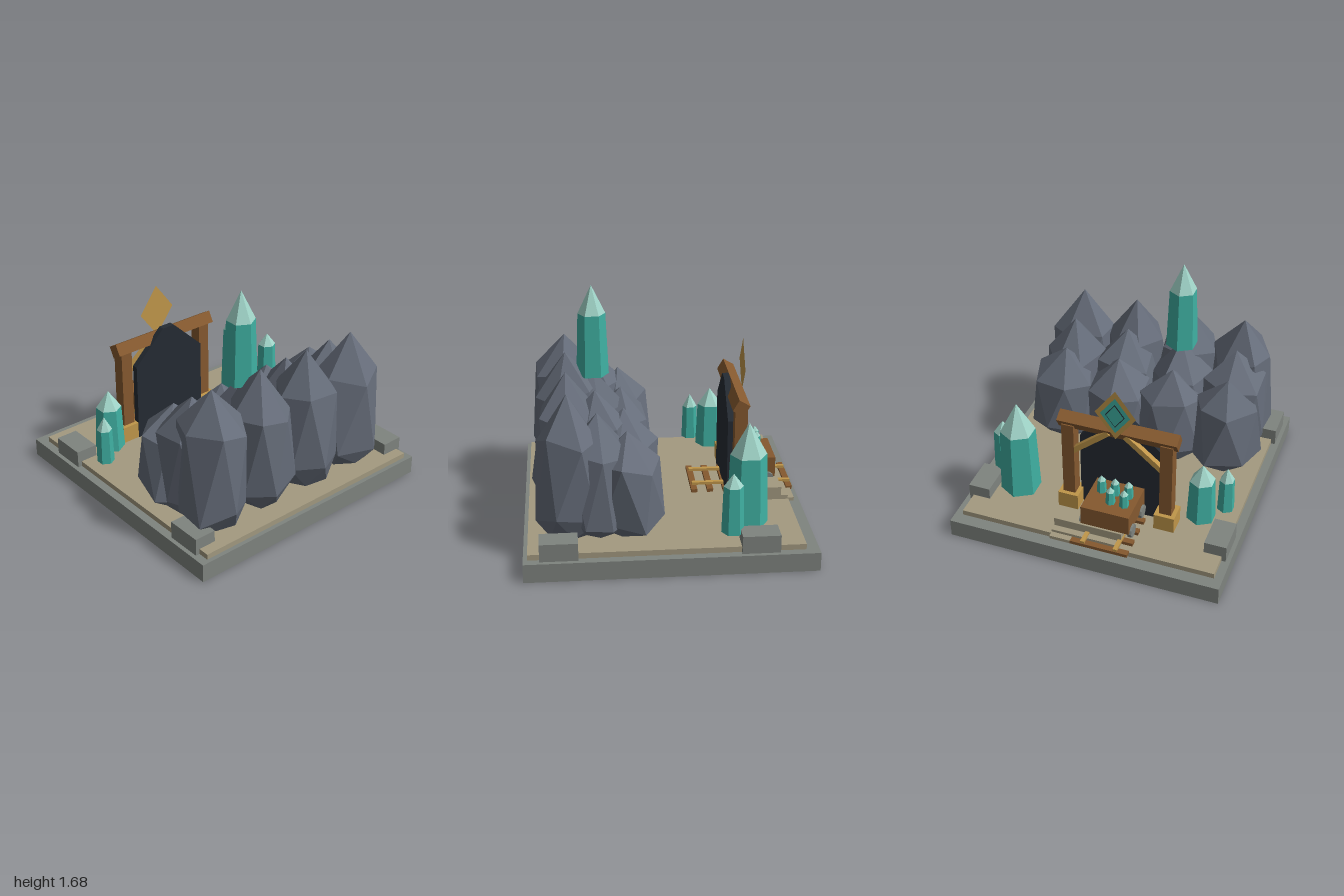
import * as THREE from 'three';

const mat = (name, color) => Object.assign(new THREE.MeshStandardMaterial({ color }), { name });

export function createModel() {
  const root = new THREE.Group();
  root.name = 'crystalMine';
  const stone = mat('grey stone', 0x7f847f);
  const sand = mat('sandy floor', 0xa39a80);
  const rockMat = mat('slate rock', 0x666d7a);
  const wood = mat('brown timber', 0x85592f);
  const gold = mat('golden wood', 0xc0964a);
  const teal = mat('teal crystal', 0x3fb0a2);
  const pale = mat('pale crystal tip', 0xa0d4c8);
  const dark = mat('dark opening', 0x252b33);
  const sheet = mat('golden sign', 0xc0964a);
  sheet.side = THREE.DoubleSide;

  const add = (name, geo, material, x = 0, y = 0, z = 0, parent = root) => {
    const flat = geo.index ? geo.toNonIndexed() : geo;
    flat.computeVertexNormals();
    const m = new THREE.Mesh(flat, material);
    m.name = name;
    m.position.set(x, y, z);
    parent.add(m);
    return m;
  };
  // Box given by its minimum and maximum on each axis
  const block = (name, material, x0, x1, y0, y1, z0, z1, parent) =>
    add(name, new THREE.BoxGeometry(x1 - x0, y1 - y0, z1 - z0), material,
      (x0 + x1) / 2, (y0 + y1) / 2, (z0 + z1) / 2, parent);

  // Ground slab, sandy floor and corner blocks
  block('base', stone, -1, 1, 0, 0.135, -1, 1);
  block('floor', sand, -0.94, 0.94, 0.13, 0.175, -0.91, 0.97);
  for (const s of [-1, 1]) {
    for (const z of [-0.6, 0.76]) {
      add('cornerBlock', new THREE.BoxGeometry(0.16, 0.13, 0.26), stone, s * 0.89, 0.197, z);
    }
  }

  // Rocks: jittered six-sided rings closed by an apex
  let seed = 11;
  const jitter = (amount) => {
    seed = (seed * 16807) % 2147483647;
    return (seed / 2147483647 * 2 - 1) * amount;
  };
  const rockGeometry = (h) => {
    const n = 6, pos = [], index = [];
    const profile = [[0.16, 0], [0.255, 0.14], [0.225, 0.7]];
    const turn = jitter(0.5);
    profile.forEach(([r, y], k) => {
      for (let i = 0; i < n; i++) {
        const a = (i + k * 0.5 + jitter(0.15)) / n * Math.PI * 2 + turn;
        const rr = r + jitter(0.025);
        pos.push(Math.sin(a) * rr, (y + (k ? jitter(0.05) : 0)) * h, Math.cos(a) * rr);
      }
    });
    pos.push(0, h, 0);
    for (let k = 0; k < 3; k++) {
      for (let i = 0; i < n; i++) {
        const j = (i + 1) % n, a = k * n + i, b = k * n + j;
        if (k === 2) index.push(a, b, 3 * n);
        else index.push(a, b, a + n, b, b + n, a + n);
      }
    }
    const g = new THREE.BufferGeometry();
    g.setAttribute('position', new THREE.Float32BufferAttribute(pos, 3));
    g.setIndex(index);
    return g;
  };
  for (const [z, top] of [[0.68, 1.18], [0.48, 1.04], [0.28, 0.9]]) {
    for (const x of [-0.66, -0.24, 0.18, 0.6]) {
      add('rock', rockGeometry(top - 0.175), rockMat, x, 0.175, z);
    }
  }

  // Crystals: tapered hexagonal shaft with a pale pointed tip
  const crystal = (x, z, y0, y1, y2, r0, r1) => {
    const g = new THREE.Group();
    g.name = 'crystal';
    g.position.set(x, 0, z);
    add('crystalShaft', new THREE.CylinderGeometry(r1, r0, y1 - y0, 6), teal, 0, (y0 + y1) / 2, 0, g);
    add('crystalTip', new THREE.ConeGeometry(r1, y2 - y1, 6), pale, 0, (y1 + y2) / 2, 0, g);
    root.add(g);
  };
  crystal(-0.24, 0.48, 1.01, 1.47, 1.68, 0.118, 0.1);
  crystal(0.64, -0.545, 0.21, 0.72, 0.95, 0.146, 0.127);
  crystal(0.82, -0.42, 0.23, 0.57, 0.66, 0.078, 0.068);
  crystal(-0.7, -0.44, 0.23, 0.56, 0.69, 0.107, 0.092);
  crystal(-0.84, -0.3, 0.23, 0.49, 0.59, 0.063, 0.055);

  // Steps behind the gate
  block('topStep', sand, -0.25, 0.25, 0.17, 0.27, -0.855, -0.74);
  block('middleStep', sand, -0.25, 0.25, 0.17, 0.205, -0.905, -0.74);
  block('bottomStep', sand, -0.25, 0.25, 0.16, 0.185, -0.95, -0.74);

  // Track
  const mid = -0.12;
  for (let i = 0; i < 7; i++) {
    add('sleeper', new THREE.BoxGeometry(0.42, 0.025, 0.045), wood, mid, 0.188, -0.24 - i * 0.117);
  }
  for (const s of [-1, 1]) {
    block('rail', gold, mid + s * 0.12 - 0.015, mid + s * 0.12 + 0.015, 0.2, 0.22, -0.96, -0.23);
  }

  // Mine cart with wheels and its crystal load
  block('cart', wood, -0.3, 0.055, 0.27, 0.42, -0.84, -0.5);
  for (const s of [-1, 1]) {
    for (const z of [-0.78, -0.57]) {
      const wheel = add('wheel', new THREE.CylinderGeometry(0.05, 0.05, 0.03, 10), stone, mid + s * 0.18, 0.26, z);
      wheel.rotation.z = Math.PI / 2;
    }
  }
  for (const [x, z] of [[-0.225, -0.725], [-0.125, -0.725], [-0.225, -0.63], [-0.125, -0.63], [-0.025, -0.63]]) {
    crystal(x, z, 0.42, 0.52, 0.56, 0.035, 0.03);
  }

  // Timber gate: feet, posts, braces and a tilted beam
  for (const s of [-1, 1]) {
    const x = mid + s * 0.36;
    block('postFoot', gold, x - 0.075, x + 0.075, 0.17, 0.3, -0.62, -0.47);
    block('post', wood, x - 0.045, x + 0.045, 0.3, 0.9, -0.59, -0.5);
    const brace = add('brace', new THREE.BoxGeometry(0.36, 0.04, 0.04), gold, mid + s * 0.2, 0.79, -0.57);
    brace.rotation.z = -s * 0.7;
  }
  const beam = add('beam', new THREE.BoxGeometry(0.87, 0.09, 0.09), wood, mid, 0.92, -0.54);
  beam.rotation.x = -Math.PI / 6;

  // Dark mine opening
  const shape = (pts) => new THREE.Shape(pts.map((p) => new THREE.Vector2(...p)));
  const opening = shape([[-0.3, 0.17], [0.3, 0.17], [0.3, 0.77], [0.05, 1.01], [-0.05, 1.01], [-0.3, 0.77]]);
  add('mineOpening', new THREE.ExtrudeGeometry(opening, { depth: 0.045, bevelEnabled: false }), dark, mid, 0, -0.51);

  // Diamond sign, painted on its rear side
  const diamond = (name, w, h, material, z) => {
    const g = new THREE.ShapeGeometry(shape([[w, 0], [0, h], [-w, 0], [0, -h]]));
    add(name, g, material, mid, 1.09, z).rotation.y = Math.PI;
  };
  diamond('signBoard', 0.147, 0.2, sheet, -0.605);
  diamond('signPanel', 0.107, 0.145, teal, -0.609);
  diamond('signOutline', 0.07, 0.096, dark, -0.612);
  diamond('signCentre', 0.063, 0.086, teal, -0.615);
  return root;
}
